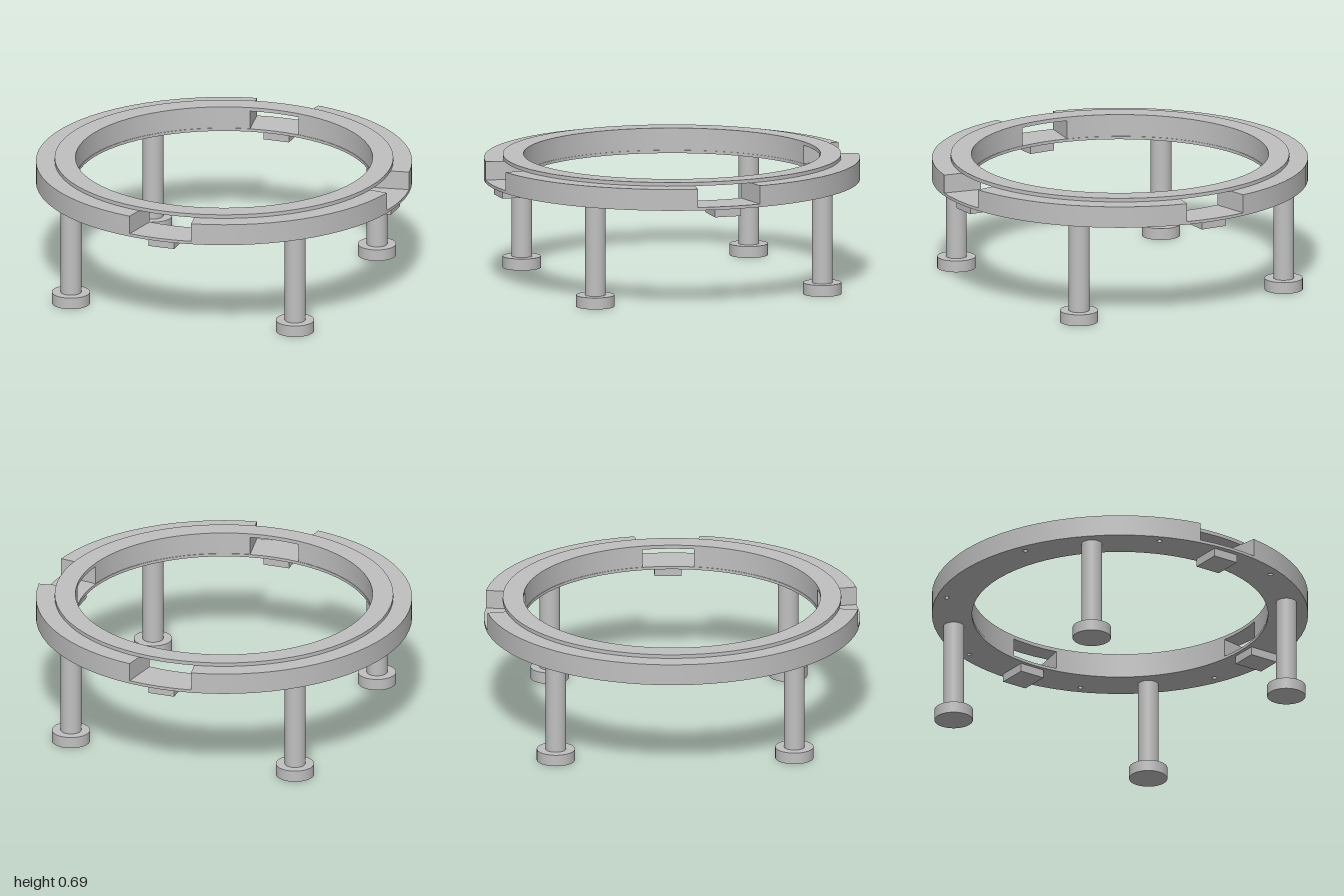
import * as THREE from 'three';
import { toCreasedNormals } from 'three/addons/utils/BufferGeometryUtils.js';

const rad = THREE.MathUtils.degToRad;

// Extrude a flat shape upward, with smooth curves and sharp edges
function slab(shape, height, curveSegments) {
  const g = new THREE.ExtrudeGeometry(shape, { depth: height, bevelEnabled: false, curveSegments });
  g.rotateX(-Math.PI / 2);
  return toCreasedNormals(g, rad(30));
}

function ringShape(inner, outer) {
  const s = new THREE.Shape();
  s.absarc(0, 0, outer, 0, Math.PI * 2, false);
  s.holes.push(new THREE.Path().absarc(0, 0, inner, 0, Math.PI * 2, true));
  return s;
}

export function createModel() {
  const root = new THREE.Group();
  root.name = 'ringStand';
  const grey = new THREE.MeshStandardMaterial({ color: 0xc0c0c0 });
  grey.name = 'plain grey';

  const add = (name, geometry, x, y, z) => {
    const m = new THREE.Mesh(geometry, grey);
    m.name = name;
    m.position.set(x, y, z);
    root.add(m);
    return m;
  };

  // Base plate with eight small screw holes
  const base = ringShape(0.787, 1);
  for (let i = 0; i < 8; i++) {
    const a = rad(22.5 + 45 * i);
    base.holes.push(new THREE.Path().absarc(0.945 * Math.cos(a), 0.945 * Math.sin(a), 0.014, 0, Math.PI * 2, true));
  }
  add('basePlate', slab(base, 0.016, 36), 0, 0.55, 0);

  // Wall in three arcs, leaving gaps at the front, back and left
  for (const [from, to] of [[10, 80], [100, 260], [280, 350]]) {
    const s = new THREE.Shape();
    s.absarc(0, 0, 1, rad(from), rad(to), false);
    s.absarc(0, 0, 0.79, rad(to), rad(from), true);
    s.closePath();
    add('wallArc', slab(s, 0.099, (to - from) / 10), 0, 0.566, 0);
  }

  // Raised ring bridging the gaps
  add('topRing', slab(ringShape(0.79, 0.9), 0.02, 36), 0, 0.665, 0);

  // Blocks under each gap
  const block = new THREE.BoxGeometry(0.165, 0.05, 0.145);
  for (const deg of [0, 90, 270]) {
    const a = rad(deg);
    add('underBlock', block, 0.888 * Math.cos(a), 0.53, -0.888 * Math.sin(a)).rotation.y = a;
  }

  // Four legs with round feet
  const leg = new THREE.CylinderGeometry(0.055, 0.055, 0.5, 32);
  const foot = new THREE.CylinderGeometry(0.102, 0.102, 0.062, 40);
  for (const x of [-0.634, 0.634]) {
    for (const z of [-0.634, 0.634]) {
      add('leg', leg, x, 0.305, z);
      add('foot', foot, x, 0.031, z);
    }
  }
  return root;
}
